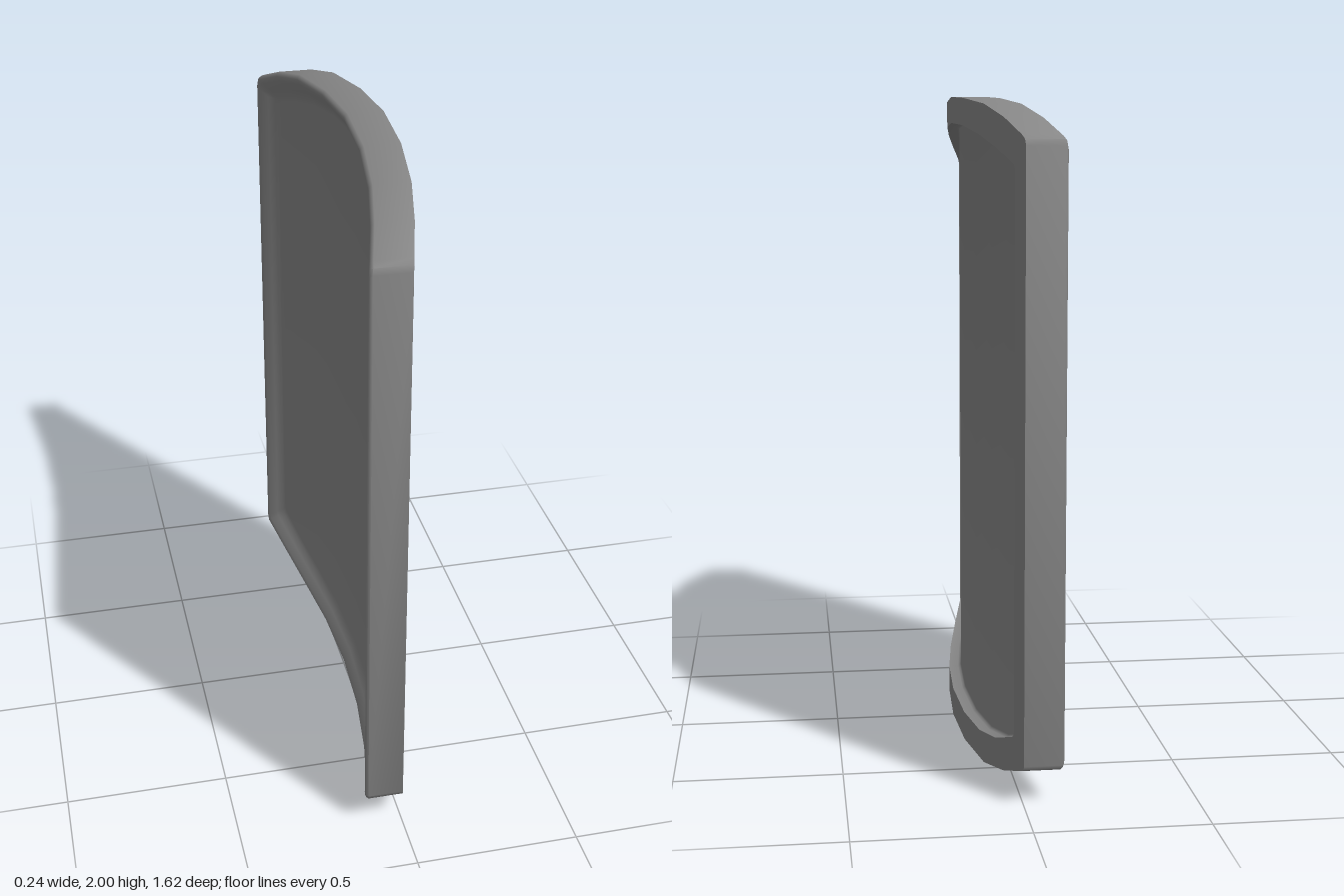
import * as THREE from 'three';
import { toCreasedNormals } from 'three/addons/utils/BufferGeometryUtils.js';

// Half outlines from centre to edge: [z, top y, bottom y]
const OUTER = [
  [0, 2, 0], [0.25, 1.99, 0.002], [0.49, 1.968, 0.015], [0.66, 1.928, 0.052],
  [0.785, 1.88, 0.095], [0.805, 1.868, 0.103], [0.812, 1.85, 0.117],
];
const INNER = [
  [0, 1.92, 0.088], [0.24, 1.91, 0.089], [0.44, 1.883, 0.1], [0.6, 1.845, 0.13],
  [0.72, 1.805, 0.174], [0.736, 1.797, 0.181], [0.742, 1.78, 0.195],
];

// Columns from +z to -z; t = 0 is the outer outline, 1 the inner, above 1 further inwards
function columns(t) {
  const half = OUTER.map((o, i) => o.map((v, k) => v + (INNER[i][k] - v) * t));
  const mirrored = half.slice(1).map(([z, a, b]) => [-z, a, b]);
  return [...half.reverse(), ...mirrored];
}

// Bend the plate around a vertical axis
const bend = (offset, y, z) => [offset - 0.12 * (z / 0.812) ** 2, y, z];

// Closed loop of points around the plate
function ring([t, offset]) {
  const cols = columns(t);
  return [
    ...cols.map(([z, top]) => bend(offset, top, z)),
    ...cols.slice().reverse().map(([z, , bottom]) => bend(offset, bottom, z)),
  ];
}

// Skin over a series of rings
function loft(profile) {
  const rings = profile.map(ring);
  const out = [];
  for (let r = 0; r < rings.length - 1; r++) {
    const n = rings[r].length;
    for (let i = 0; i < n; i++) {
      const j = (i + 1) % n;
      const a = rings[r][i], b = rings[r][j], c = rings[r + 1][i], d = rings[r + 1][j];
      out.push(a, b, c, b, d, c);
    }
  }
  return out;
}

// Curved sheet filling a ring
function sheet([t, offset], flip) {
  const cols = columns(t);
  const out = [];
  for (let i = 0; i < cols.length - 1; i++) {
    const [p, q] = [cols[i], cols[i + 1]];
    const a = bend(offset, p[1], p[0]), b = bend(offset, p[2], p[0]);
    const c = bend(offset, q[1], q[0]), d = bend(offset, q[2], q[0]);
    out.push(...(flip ? [a, c, b, c, d, b] : [a, b, c, c, b, d]));
  }
  return out;
}

export function createModel() {
  const group = new THREE.Group();
  group.name = 'curvedPanel';

  // Rim section from the convex recess round to the concave one: [t, offset]
  const profile = [
    [1.09, 0.08], [1.03, 0.083], [1, 0.09], [1, 0.12], // sharp convex recess
    [0, 0.12], [0, 0.012], [0.06, 0.004], [0.15, 0], // outer edge, eased at the back
    [0.3, 0.004], [0.6, 0.022], [0.85, 0.036], [1.05, 0.04], // soft concave recess
  ];
  const triangles = [
    ...loft(profile),
    ...sheet(profile[0], false),
    ...sheet(profile[profile.length - 1], true),
  ];

  // Enlarged while creasing, so the small fillets keep separate vertices
  const geo = new THREE.BufferGeometry();
  geo.setAttribute('position', new THREE.Float32BufferAttribute(triangles.flat(), 3));
  geo.scale(100, 100, 100);
  const creased = toCreasedNormals(geo, 0.85);
  creased.scale(0.01, 0.01, 0.01);

  const plate = new THREE.Mesh(creased, new THREE.MeshStandardMaterial({ color: 0x868686 }));
  plate.name = 'rimmedPlate';
  group.add(plate);
  return group;
}
